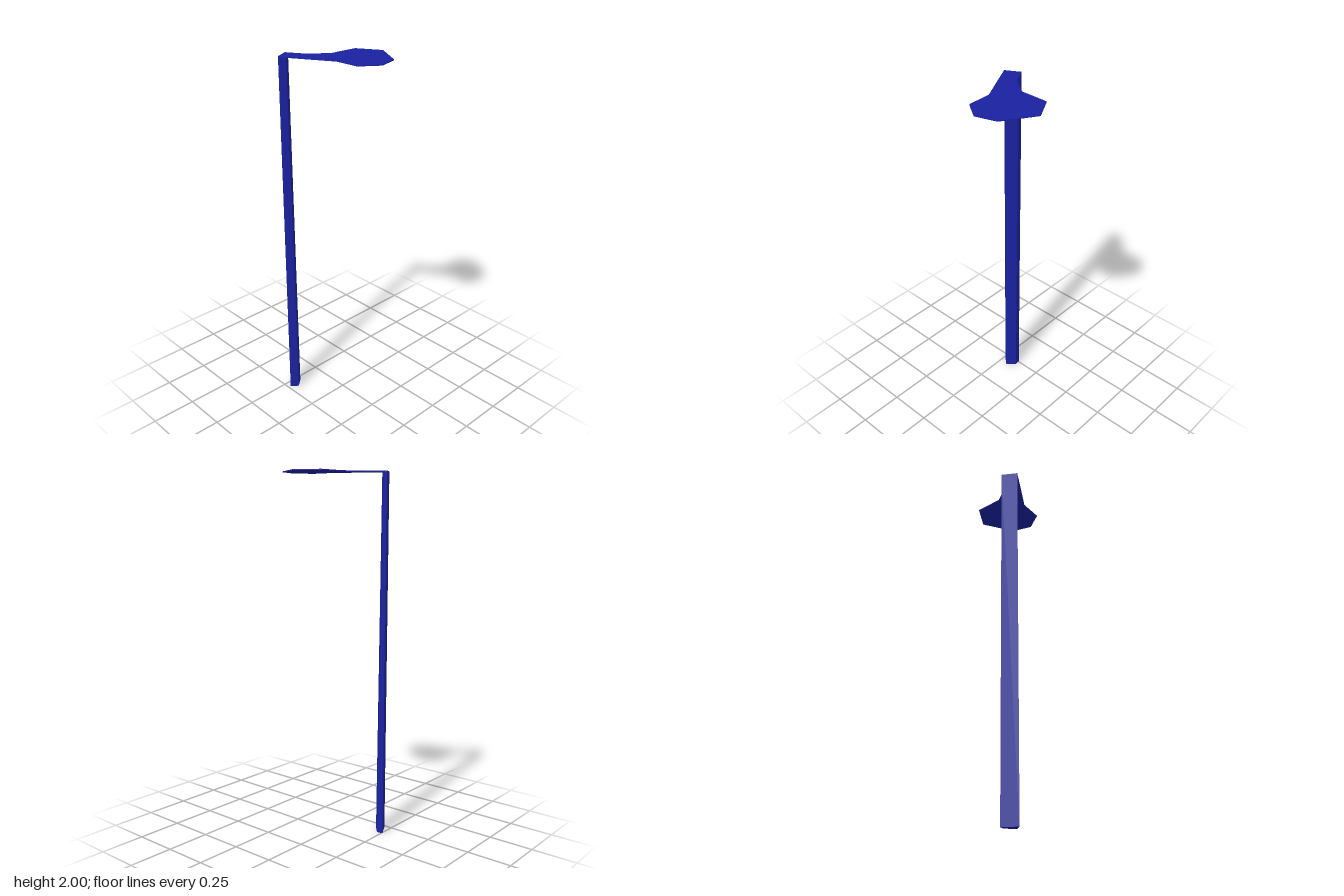
import * as THREE from 'three';

const material = new THREE.MeshStandardMaterial({ color: 0x1a22a0, flatShading: true });

// Upright prism from an [x, z] outline, rising from y by height.
function prism(name, outline, y, height) {
  const shape = new THREE.Shape(outline.map(([x, z]) => new THREE.Vector2(x, -z)));
  const geometry = new THREE.ExtrudeGeometry(shape, { depth: height, bevelEnabled: false });
  geometry.rotateX(-Math.PI / 2).translate(0, y, 0);
  const mesh = new THREE.Mesh(geometry, material);
  mesh.name = name;
  return mesh;
}

export function createModel() {
  const model = new THREE.Group();
  model.name = 'postWithPlate';

  // Shared rear edge of post and plate
  const rearRight = [-0.234, -0.213];
  const rearLeft = [-0.155, -0.256];

  // Thin paddle-shaped plate with its narrow neck over the post
  const thickness = 0.005;
  model.add(prism('topPlate', [
    rearRight, rearLeft, [-0.095, -0.152], [0.003, -0.083], [0.16, -0.078],
    [0.233, 0.049], [0.129, 0.221], [0.014, 0.254], [-0.083, 0.185],
    [-0.088, 0.05], [-0.158, -0.075],
  ], 2 - thickness, thickness));

  // Four-sided post; its front face leans back slightly towards the top
  const height = 2 - thickness;
  const post = prism('post', [rearRight, rearLeft, [-0.149, -0.222], [-0.197, -0.18]], 0, height);
  const p = post.geometry.attributes.position;
  for (let i = 0; i < p.count; i++) {
    const depth = (p.getX(i) - rearRight[0]) * 0.47 + (p.getZ(i) - rearRight[1]) * 0.88;
    if (depth > 0.01 && p.getY(i) > 1) {
      p.setX(i, p.getX(i) - 0.005);
      p.setZ(i, p.getZ(i) - 0.01);
    }
  }
  post.geometry.computeVertexNormals();
  model.add(post);

  return model;
}
